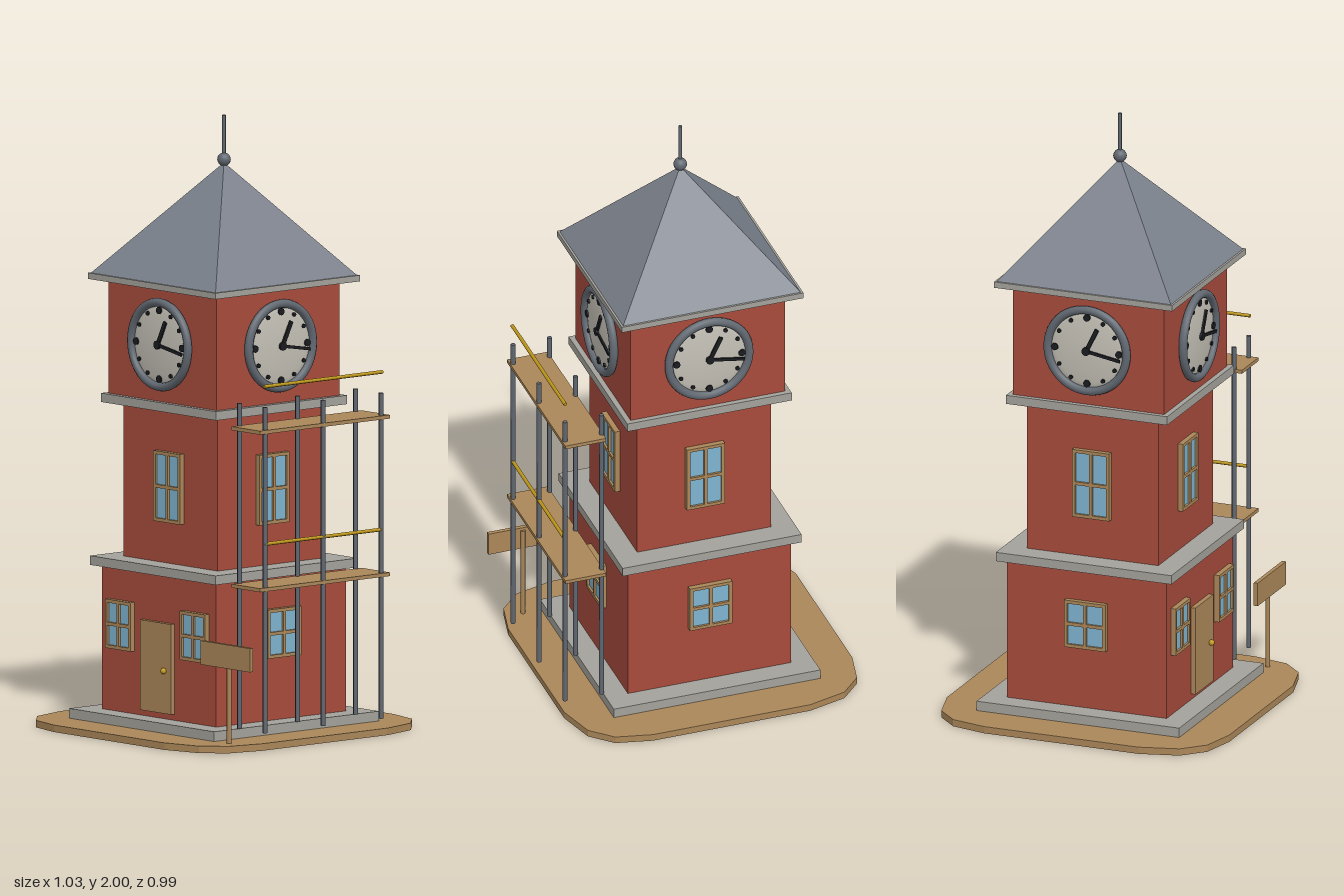
import * as THREE from 'three';

const mat = (name, color, extra = {}) => Object.assign(new THREE.MeshStandardMaterial({ color, ...extra }), { name });

export function createModel() {
  const M = {
    brick: mat('red brick', 0xa84b3c),
    stone: mat('grey stone', 0xa4a29b),
    slate: mat('slate', 0x7c828d),
    steel: mat('steel', 0x626972),
    timber: mat('timber', 0xab8759),
    glass: mat('window glass', 0x7fb4d0),
    dial: mat('clock dial', 0xc4c0b6),
    black: mat('black', 0x1b1c20),
    yellow: mat('safety yellow', 0xc29a1c),
  };
  const model = new THREE.Group();
  model.name = 'clockTower';
  const tower = new THREE.Group();
  tower.name = 'tower';
  tower.position.x = -0.02;
  model.add(tower);

  const add = (parent, name, geometry, material, x = 0, y = 0, z = 0) => {
    const mesh = new THREE.Mesh(geometry, material);
    mesh.name = name;
    mesh.position.set(x, y, z);
    parent.add(mesh);
    return mesh;
  };
  const box = (parent, name, material, w, h, d, x, y, z) =>
    add(parent, name, new THREE.BoxGeometry(w, h, d), material, x, y, z);

  // Ground slab with chamfered round corners
  const corner = [[0.495, 0.27], [0.46, 0.4], [0.39, 0.468], [0.27, 0.495]];
  const outline = [];
  for (let k = 0; k < 4; k++) {
    const c = Math.round(Math.cos(k * Math.PI / 2)), s = Math.round(Math.sin(k * Math.PI / 2));
    for (const [x, y] of corner) outline.push(new THREE.Vector2(c * x - s * y, s * x + c * y));
  }
  const slab = new THREE.ExtrudeGeometry(new THREE.Shape(outline), { depth: 0.023, bevelEnabled: false });
  slab.rotateX(-Math.PI / 2);
  add(tower, 'groundSlab', slab, M.timber);

  // Square tiers: name, material, width, bottom, top
  const tiers = [
    ['plinth', M.stone, 0.71, 0.023, 0.055],
    ['lowerWalls', M.brick, 0.56, 0.055, 0.525],
    ['lowerLedge', M.stone, 0.615, 0.525, 0.555],
    ['middleWalls', M.brick, 0.46, 0.555, 1.06],
    ['upperLedge', M.stone, 0.565, 1.058, 1.087],
    ['clockWalls', M.brick, 0.53, 1.087, 1.46],
    ['eaves', M.stone, 0.624, 1.46, 1.48],
  ];
  for (const [name, material, w, y0, y1] of tiers) box(tower, name, material, w, y1 - y0, w, 0, (y0 + y1) / 2, 0);

  // Pyramid roof with finial
  const roof = new THREE.ConeGeometry(0.61 / Math.SQRT2, 0.365, 4, 1).toNonIndexed();
  roof.rotateY(Math.PI / 4);
  roof.computeVertexNormals();
  add(tower, 'roof', roof, M.slate, 0, 1.6625, 0);
  add(tower, 'finialBall', new THREE.SphereGeometry(0.022, 16, 12), M.steel, 0, 1.855, 0);
  add(tower, 'finialSpike', new THREE.CylinderGeometry(0.006, 0.006, 0.14, 10), M.steel, 0, 1.93, 0);

  // Four-pane window on a wall facing +z
  const addWindow = (parent, w, h, x, y, z) => {
    const g = new THREE.Group();
    g.name = 'window';
    g.position.set(x, y, z);
    const bar = 0.011, half = bar / 2;
    const frame = new THREE.Shape([[-w, -h], [w, -h], [w, h], [-w, h]].map(([a, b]) => new THREE.Vector2(a / 2, b / 2)));
    for (const sx of [-1, 1]) for (const sy of [-1, 1]) {
      const x0 = sx * half, x1 = sx * (w / 2 - bar), y0 = sy * half, y1 = sy * (h / 2 - bar);
      frame.holes.push(new THREE.Path([[x0, y0], [x1, y0], [x1, y1], [x0, y1]].map((p) => new THREE.Vector2(...p))));
    }
    add(g, 'windowFrame', new THREE.ExtrudeGeometry(frame, { depth: 0.018, bevelEnabled: false }), M.timber);
    box(g, 'windowGlass', M.glass, w - bar, h - bar, 0.009, 0, 0, 0.006);
    parent.add(g);
  };

  // Clock on a wall facing +z
  const addClock = (parent, y, z) => {
    const g = new THREE.Group();
    g.name = 'clock';
    g.position.set(0, y, z);
    const dome = new THREE.LatheGeometry(
      [[0.136, 0], [0.136, 0.008], [0.11, 0.013], [0.07, 0.017], [0.03, 0.019], [0, 0.0195]].map((p) => new THREE.Vector2(...p)), 40);
    dome.rotateX(Math.PI / 2);
    add(g, 'clockDial', dome, M.dial).material.side = THREE.DoubleSide;
    add(g, 'clockRim', new THREE.TorusGeometry(0.138, 0.014, 10, 48), M.steel, 0, 0, 0.013);
    for (let i = 0; i < 12; i++) {
      const a = i * Math.PI / 6, r = i % 3 ? 0.007 : 0.012;
      const dot = add(g, 'hourMark', new THREE.CylinderGeometry(r, r, 0.008, 12), M.black, 0.112 * Math.sin(a), 0.112 * Math.cos(a), 0.014);
      dot.rotation.x = Math.PI / 2;
    }
    const hand = (name, x, y2, w) => {
      const geo = new THREE.BoxGeometry(w, Math.hypot(x, y2), 0.006);
      const m = add(g, name, geo, M.black, x / 2, y2 / 2, 0.022);
      m.rotation.z = Math.atan2(-x, y2);
    };
    hand('hourHand', 0.038, 0.078, 0.014);
    hand('minuteHand', 0.118, -0.02, 0.01);
    const hub = add(g, 'clockHub', new THREE.CylinderGeometry(0.014, 0.014, 0.012, 14), M.black, 0, 0, 0.022);
    hub.rotation.x = Math.PI / 2;
    parent.add(g);
  };

  // Repeat windows and clock on the four sides
  for (let k = 0; k < 4; k++) {
    const side = new THREE.Group();
    side.name = ['frontSide', 'leftSide', 'backSide', 'rightSide'][k];
    side.rotation.y = k * Math.PI / 2;
    addClock(side, 1.275, 0.265);
    addWindow(side, 0.13, 0.23, 0, 0.805, 0.23);
    if (k === 0) for (const x of [-0.183, 0.183]) addWindow(side, 0.125, 0.16, x, 0.34, 0.28);
    else addWindow(side, 0.145, 0.16, 0, 0.34, 0.28);
    tower.add(side);
  }

  // Door
  box(tower, 'door', M.timber, 0.152, 0.295, 0.016, 0, 0.2225, 0.288);
  add(tower, 'doorKnob', new THREE.SphereGeometry(0.01, 12, 8), M.yellow, 0.046, 0.215, 0.302);

  // Scaffold beside the left wall
  const scaffold = new THREE.Group();
  scaffold.name = 'scaffold';
  model.add(scaffold);
  for (const x of [0.34, 0.465]) for (const z of [-0.25, 0, 0.25])
    add(scaffold, 'scaffoldPole', new THREE.CylinderGeometry(0.008, 0.008, 1.065, 6), M.steel, x, 0.5875, z);
  for (const y of [0.525, 1.04]) {
    box(scaffold, 'scaffoldPlank', M.timber, 0.14, 0.012, 0.56, 0.405, y, 0);
    const rail = add(scaffold, 'guardRail', new THREE.CylinderGeometry(0.006, 0.006, 0.51, 6), M.yellow, 0.466, y + 0.148, 0);
    rail.rotation.x = Math.PI / 2;
  }

  // Blank signboard on a post
  box(model, 'signBoard', M.timber, 0.24, 0.078, 0.014, 0.395, 0.308, 0.353);
  add(model, 'signPost', new THREE.CylinderGeometry(0.008, 0.008, 0.315, 8), M.timber, 0.397, 0.18, 0.345);
  return model;
}
